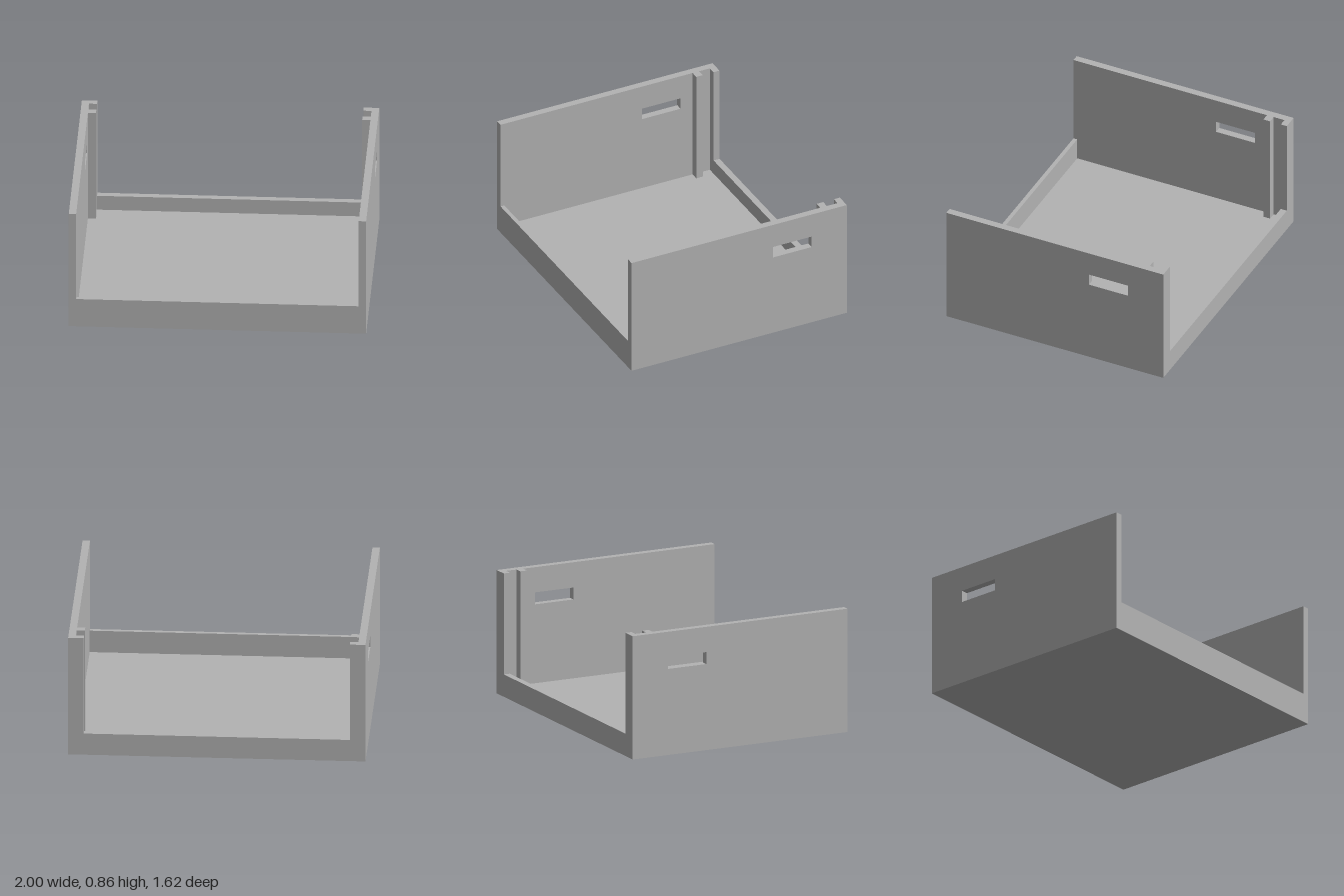
import * as THREE from 'three';

const DEPTH = 0.81;   // half depth
const HEIGHT = 0.855;
const WALL = 0.05;

export function createModel() {
  const model = new THREE.Group();
  model.name = 'openTray';
  const grey = new THREE.MeshStandardMaterial({ color: 0xb2b2b2 });
  grey.name = 'plain grey';

  const add = (name, geometry) => {
    const mesh = new THREE.Mesh(geometry, grey);
    mesh.name = name;
    model.add(mesh);
    return mesh;
  };

  // Box given by its limits on each axis
  const block = (name, [x0, x1], [y0, y1], [z0, z1]) =>
    add(name, new THREE.BoxGeometry(x1 - x0, y1 - y0, z1 - z0))
      .position.set((x0 + x1) / 2, (y0 + y1) / 2, (z0 + z1) / 2);

  // Closed rectangle in the (z, y) plane
  const rectangle = (Type, z0, y0, z1, y1) => new Type([
    new THREE.Vector2(z0, y0), new THREE.Vector2(z1, y0),
    new THREE.Vector2(z1, y1), new THREE.Vector2(z0, y1),
  ]);

  // Floor and the low lips at its front and back
  const inner = 1 - WALL;
  block('floor', [-inner, inner], [0, WALL], [-DEPTH, DEPTH]);
  block('frontLip', [-inner, inner], [WALL, 0.207], [0.782, DEPTH]);
  block('backLip', [-inner, inner], [WALL, 0.155], [-DEPTH, -0.765]);

  // Side wall with a slot cut through it
  const wallShape = rectangle(THREE.Shape, -DEPTH, 0, DEPTH, HEIGHT);
  wallShape.holes.push(rectangle(THREE.Path, -0.545, 0.597, -0.255, 0.68));
  const wall = new THREE.ExtrudeGeometry(wallShape, { depth: WALL, bevelEnabled: false });
  wall.rotateY(-Math.PI / 2);

  for (const [label, side] of [['left', 1], ['right', -1]]) {
    add(label + 'Wall', wall).position.x = side > 0 ? 1 : -inner;

    // Jamb and rib that form the upright panel groove
    const span = side > 0 ? [0.895, inner] : [-inner, -0.895];
    block(label + 'BackJamb', span, [0.155, HEIGHT], [-DEPTH, -0.765]);
    block(label + 'GrooveRib', span, [WALL, HEIGHT], [-0.685, -0.635]);
  }
  return model;
}
